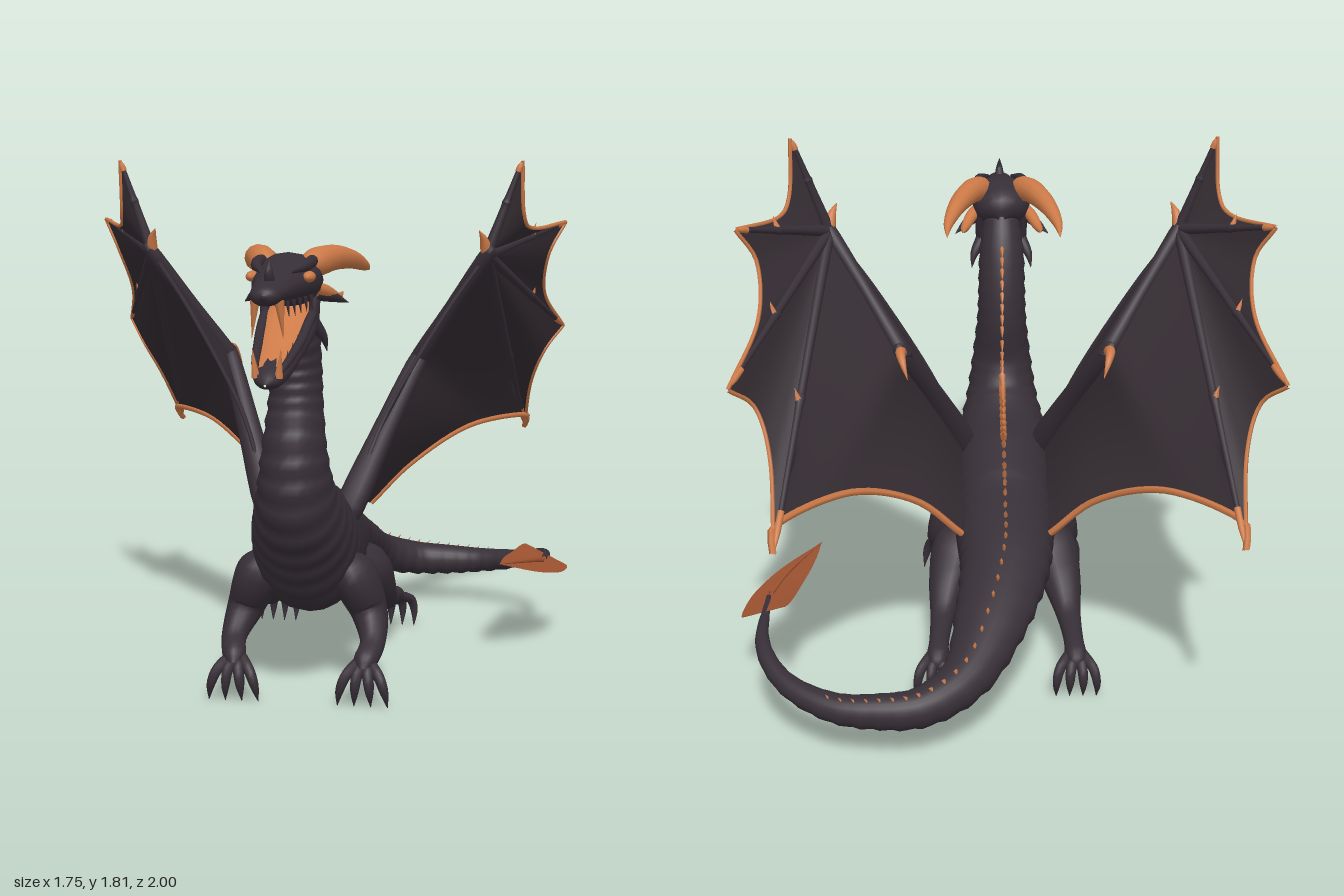
import * as THREE from 'three';

const V = (a) => new THREE.Vector3(a[0], a[1], a[2]);
const mat = (name, color, side = THREE.FrontSide) => {
  const m = new THREE.MeshStandardMaterial({ color, side });
  m.name = name;
  return m;
};
const curve = (pts) => new THREE.CatmullRomCurve3(pts.map(V), false, 'catmullrom', 0.5);

// Grid of points to smooth geometry; wrap joins the last column to the first
function gridGeometry(rows, wrap) {
  const n = rows[0].length, pos = [], idx = [];
  rows.forEach((r) => r.forEach((p) => pos.push(p.x, p.y, p.z)));
  for (let i = 0; i < rows.length - 1; i++) {
    for (let j = 0; j < (wrap ? n : n - 1); j++) {
      const k = (j + 1) % n, a = i * n + j, b = a + n, c = i * n + k, d = c + n;
      idx.push(a, b, c, b, d, c);
    }
  }
  const g = new THREE.BufferGeometry();
  g.setAttribute('position', new THREE.Float32BufferAttribute(pos, 3));
  g.setIndex(idx);
  g.computeVertexNormals();
  return g;
}

// Frames along a path of [x, y, z, halfWidth, halfHeight]
function frames(pts, steps) {
  const path = curve(pts), size = curve(pts.map((p) => [p[3], p[4] ?? p[3], 0]));
  const side = new THREE.Vector3(1, 0, 0), out = [];
  for (let i = 0; i <= steps; i++) {
    const t = i / steps, T = path.getTangent(t);
    side.addScaledVector(T, -side.dot(T)).normalize();
    const s = size.getPoint(t);
    out.push({ c: path.getPoint(t), T, S: side.clone(), D: side.clone().cross(T),
      w: Math.max(s.x, 0.0005), h: Math.max(s.y, 0.0005) });
  }
  return out;
}

// Elliptical sweep; ridge gives overlapping belly rings
function sweep(pts, steps = 16, sides = 10, ridge = 0) {
  const rows = frames(pts, steps).map((f, i) => {
    const row = [];
    for (let j = 0; j < sides; j++) {
      const a = (j / sides) * Math.PI * 2;
      const belly = 0.5 - 0.5 * Math.sin(a);
      const k = 1 + ridge * belly * ([-0.5, 0.2, 1][i % 3]);
      row.push(f.c.clone().addScaledVector(f.S, f.w * k * Math.cos(a))
        .addScaledVector(f.D, f.h * k * Math.sin(a)));
    }
    return row;
  });
  return gridGeometry(rows, true);
}

// Ruled sheet between two curves
function sheet(A, B, nu = 16, nv = 4) {
  const rows = [];
  for (let i = 0; i <= nu; i++) {
    const a = A.getPoint(i / nu), b = B.getPoint(i / nu), row = [];
    for (let j = 0; j <= nv; j++) row.push(a.clone().lerp(b, j / nv));
    rows.push(row);
  }
  return gridGeometry(rows, false);
}

export function createModel() {
  const hide = mat('darkHide', 0x372f37);
  const web = mat('wingMembrane', 0x342c32, THREE.DoubleSide);
  const horn = mat('orangeHorn', 0xcd7a48);
  const rust = mat('rustFin', 0x9c5230, THREE.DoubleSide);
  const root = new THREE.Group();
  root.name = 'dragon';
  const body = new THREE.Group();
  body.name = 'dragonBody';
  body.position.x = -0.015;
  root.add(body);

  const add = (name, geo, m) => {
    const mesh = new THREE.Mesh(geo, m);
    mesh.name = name;
    body.add(mesh);
    return mesh;
  };
  const spike = (name, at, dir, r, len, m, flat = 1) => {
    const g = new THREE.ConeGeometry(r, len, 6);
    g.translate(0, len / 2, 0);
    const s = add(name, g, m);
    s.scale.x = flat;
    s.position.copy(at);
    s.quaternion.setFromUnitVectors(new THREE.Vector3(0, 1, 0), dir.clone().normalize());
  };

  // Neck, trunk and curling tail
  const spine = [
    [0, 1.43, 0.50, 0.06, 0.06], [0, 1.30, 0.455, 0.08, 0.085], [0, 1.17, 0.42, 0.085, 0.09],
    [0, 1.04, 0.42, 0.09, 0.105], [0, 0.88, 0.45, 0.108, 0.125], [0, 0.73, 0.42, 0.132, 0.16],
    [0, 0.61, 0.31, 0.165, 0.185], [0, 0.51, 0.14, 0.183, 0.225], [0, 0.46, -0.07, 0.175, 0.195],
    [0, 0.45, -0.24, 0.165, 0.14], [0.005, 0.415, -0.4, 0.15, 0.115], [0.05, 0.345, -0.61, 0.125, 0.088],
    [0.13, 0.25, -0.81, 0.085, 0.075], [0.265, 0.2, -0.92, 0.064, 0.066], [0.415, 0.192, -0.94, 0.055, 0.058],
    [0.565, 0.2, -0.92, 0.046, 0.046], [0.715, 0.235, -0.83, 0.034, 0.034], [0.8, 0.29, -0.68, 0.024, 0.024],
    [0.805, 0.335, -0.44, 0.008, 0.008]];
  add('neckBodyAndTail', sweep(spine, 138, 24, 0.075), hide);

  // Row of back spikes, tallest over the shoulders
  frames(spine, 66).forEach((f, i) => {
    if (i < 4 || i > 55) return;
    const size = i < 16 ? 0.9 : i < 27 ? 1.4 : Math.max(0.45, 1 - (i - 27) / 45);
    const at = f.c.clone().addScaledVector(f.D, f.h - 0.008);
    spike('backSpike', at, f.D.clone().addScaledVector(f.T, 0.7), 0.022 * size, 0.052 * size, horn, 0.45);
  });

  // Leaf-shaped tail fin with swept barbs
  const finTip = [0.65, 0.385, -0.13], finRoot = [0.8, 0.335, -0.42];
  add('tailFin', sheet(
    curve([finTip, [0.785, 0.335, -0.235], [0.87, 0.303, -0.37], [0.888, 0.295, -0.515], finRoot]),
    curve([finTip, [0.66, 0.38, -0.25], [0.685, 0.37, -0.38], [0.735, 0.36, -0.56], finRoot]), 24, 4), rust);
  add('tailFinRib', sweep([[...finRoot, 0.01], [0.75, 0.36, -0.3, 0.008], [...finTip, 0.001]], 8, 6), rust);

  // Head and jaws
  add('upperHead', sweep([[0, 1.42, 0.42, 0.01, 0.01], [0, 1.44, 0.46, 0.085, 0.07], [0, 1.455, 0.56, 0.11, 0.085],
    [0, 1.452, 0.68, 0.094, 0.067], [0, 1.445, 0.8, 0.07, 0.05], [0, 1.44, 0.9, 0.055, 0.036],
    [0, 1.437, 0.97, 0.042, 0.029], [0, 1.437, 0.998, 0.004, 0.004]], 28, 16), hide);
  add('lowerJaw', sweep([[0, 1.37, 0.44, 0.03, 0.03], [0, 1.315, 0.54, 0.09, 0.056], [0, 1.24, 0.72, 0.073, 0.041],
    [0, 1.19, 0.9, 0.05, 0.034], [0, 1.175, 0.968, 0.004, 0.004]], 20, 14), hide);
  add('mouthLining', sweep([[0, 1.37, 0.5, 0.065, 0.05], [0, 1.338, 0.58, 0.07, 0.022], [0, 1.268, 0.73, 0.06, 0.015],
    [0, 1.216, 0.89, 0.04, 0.011], [0, 1.195, 0.94, 0.004, 0.003]], 16, 12), horn);
  add('noseHorn', sweep([[0, 1.46, 0.87, 0.02], [0, 1.5, 0.895, 0.013], [0, 1.54, 0.88, 0.001]], 8, 8), hide);

  // Wing joints for the +x side
  const shoulder = [0.15, 0.66, 0.14], elbow = [0.345, 1.12, -0.19], wrist = [0.59, 1.5, -0.03];
  const tips = [[0.705, 1.82, -0.05], [0.855, 1.6, -0.38], [0.855, 1.19, -0.72], [0.71, 0.755, -0.965]];
  const valleys = [[[0.712, 1.64, -0.085], [0.745, 1.585, -0.18]], [[0.795, 1.48, -0.35], [0.785, 1.33, -0.49]],
    [[0.785, 1.1, -0.645], [0.735, 0.96, -0.74]]];

  for (const s of [1, -1]) {
    const M = (p) => [s * p[0], ...p.slice(1)];
    const limb = (name, pts, m = hide, n = 14, sides = 10) => add(name, sweep(pts.map(M), n, sides), m);
    const trim = (c, r) => add('wingTrim', new THREE.TubeGeometry(c, 24, r, 5), horn);
    const cone = (name, at, dir, r, len, m) => spike(name, V(M(at)), V(M(dir)), r, len, m);

    // Horns, cheeks and eyes
    limb('horn', [[0.06, 1.49, 0.6, 0.012], [0.078, 1.505, 0.54, 0.044], [0.118, 1.515, 0.43, 0.042], [0.16, 1.503, 0.29, 0.032],
      [0.19, 1.474, 0.16, 0.018], [0.195, 1.452, 0.05, 0.001]], horn, 20, 12);
    limb('cheekHorn', [[0.08, 1.43, 0.56, 0.022], [0.112, 1.41, 0.49, 0.022], [0.135, 1.388, 0.41, 0.015],
      [0.14, 1.398, 0.31, 0.001]], horn);
    limb('cheekFrill', [[0.08, 1.41, 0.54, 0.022], [0.125, 1.395, 0.47, 0.018], [0.17, 1.37, 0.4, 0.001]], hide, 8, 8);
    limb('cheekSpike', [[0.07, 1.32, 0.52, 0.025], [0.1, 1.27, 0.49, 0.015], [0.11, 1.22, 0.47, 0.001]], hide, 8, 8);
    limb('jawMuscle', [[0.072, 1.43, 0.5, 0.02, 0.035], [0.078, 1.37, 0.525, 0.018, 0.04], [0.075, 1.3, 0.54, 0.018, 0.035]], hide, 8, 10);
    limb('lowerLip', [[0.076, 1.35, 0.54, 0.016], [0.072, 1.318, 0.63, 0.016], [0.064, 1.275, 0.73, 0.015],
      [0.044, 1.222, 0.89, 0.011], [0.02, 1.195, 0.945, 0.004]]);
    limb('browRidge', [[0.045, 1.495, 0.78, 0.006], [0.076, 1.508, 0.69, 0.018], [0.08, 1.515, 0.58, 0.018], [0.06, 1.5, 0.52, 0.006]]);
    const eye = add('eye', new THREE.SphereGeometry(1, 12, 8), horn);
    eye.scale.set(0.02, 0.017, 0.043);
    eye.position.set(s * 0.088, 1.474, 0.695);

    // Teeth
    cone('upperFang', [0.036, 1.42, 0.925], [0.1, -1, -0.05], 0.016, 0.115, horn);
    cone('lowerFang', [0.034, 1.195, 0.93], [0.1, 1, 0.1], 0.014, 0.09, horn);
    for (let i = 0; i < 5; i++) {
      const z = 0.64 + i * 0.055;
      cone('upperTooth', [0.085 - i * 0.009, 1.415, z], [0.1, -1, 0], 0.008, 0.05, hide);
      cone('lowerTooth', [0.068 - i * 0.006, 1.285 - i * 0.018, z], [0.1, 1, 0], 0.008, 0.055, hide);
    }

    // Legs with four clawed toes
    limb('frontLeg', [[0.13, 0.49, 0.21, 0.03, 0.05], [0.165, 0.42, 0.21, 0.078, 0.1], [0.215, 0.29, 0.19, 0.066, 0.08],
      [0.24, 0.205, 0.28, 0.044], [0.225, 0.16, 0.36, 0.04], [0.22, 0.135, 0.4, 0.015]], hide, 24, 14);
    limb('hindLeg', [[0.12, 0.42, -0.04, 0.05], [0.165, 0.36, -0.12, 0.09], [0.2, 0.265, -0.21, 0.07],
      [0.22, 0.19, -0.32, 0.043], [0.23, 0.165, -0.45, 0.034], [0.235, 0.14, -0.53, 0.036], [0.235, 0.11, -0.56, 0.01]], hide, 24, 14);
    for (let i = 0; i < 4; i++) {
      const k = (i - 1.5) / 1.5;
      limb('frontToe', [[0.22 + k * 0.02, 0.15, 0.36, 0.022], [0.22 + k * 0.055, 0.12, 0.405, 0.019],
        [0.22 + k * 0.075, 0.07, 0.415, 0.015], [0.22 + k * 0.085, 0.012, 0.4, 0.001]], hide, 10, 8);
      limb('hindToe', [[0.235 + k * 0.02, 0.145, -0.51, 0.02], [0.235 + k * 0.055, 0.12, -0.565, 0.018],
        [0.235 + k * 0.068, 0.07, -0.58, 0.014], [0.235 + k * 0.068, 0.012, -0.565, 0.001]], hide, 10, 8);
    }

    // Wing arm
    limb('upperWingArm', [[0.12, 0.58, 0.17, 0.03], [...shoulder, 0.052], [0.24, 0.88, -0.01, 0.042],
      [...elbow, 0.032], [0.36, 1.15, -0.2, 0.005]]);
    limb('wingForearm', [[0.335, 1.1, -0.2, 0.01], [...elbow, 0.03], [0.465, 1.31, -0.11, 0.024], [...wrist, 0.026], [0.6, 1.53, -0.02, 0.005]]);
    limb('elbowClaw', [[...elbow, 0.02], [0.35, 1.14, -0.25, 0.017], [0.34, 1.115, -0.295, 0.011], [0.325, 1.07, -0.32, 0.001]], horn, 12, 8);
    limb('thumbClaw', [[...wrist, 0.022], [0.582, 1.55, -0.01, 0.015], [0.565, 1.585, 0.015, 0.001]], horn, 8, 8);

    // Wing fingers with claw tips and knuckle spurs
    const W = V(wrist);
    tips.forEach((t) => {
      const at = (k) => W.clone().lerp(V(t), k).toArray();
      limb('wingFinger', [[...wrist, 0.02], [...at(0.48), 0.014], [...at(0.55), 0.016], [...at(0.62), 0.012], [...at(0.94), 0.008]], hide, 16, 8);
      limb('fingerClaw', [[...at(0.88), 0.011], [...at(0.94), 0.01], [...at(1), 0.001]], horn, 4, 8);
      cone('knuckleSpur', at(0.56), [0.3, 1, 0.1], 0.014, 0.05, horn);
    });

    // Membranes between the fingers
    const hub = curve([M(wrist), M(wrist)]);
    valleys.forEach((v, i) => {
      const edge = curve([tips[i], ...v, tips[i + 1]].map(M));
      add('fingerMembrane', sheet(hub, edge, 18, 5), web);
      trim(edge, 0.007);
    });

    // Rear membrane to the flank, and the leading membrane
    const arm = new THREE.CurvePath();
    arm.add(new THREE.LineCurve3(V(M(wrist)), V(M(elbow))));
    arm.add(new THREE.LineCurve3(V(M(elbow)), V(M(shoulder))));
    const rear = curve([tips[3], [0.705, 0.815, -0.875], [0.5, 0.805, -0.63], [0.3, 0.69, -0.45], [0.15, 0.54, -0.39]].map(M));
    add('rearMembrane', sheet(arm, rear, 24, 6), web);
    trim(rear, 0.012);
    const lead = curve([wrist, [0.44, 1.28, -0.005], [0.255, 0.95, 0.045], shoulder].map(M));
    add('leadingMembrane', sheet(arm, lead, 24, 3), web);
    add('leadingEdge', new THREE.TubeGeometry(lead, 20, 0.008, 6), hide);
  }
  return root;
}
